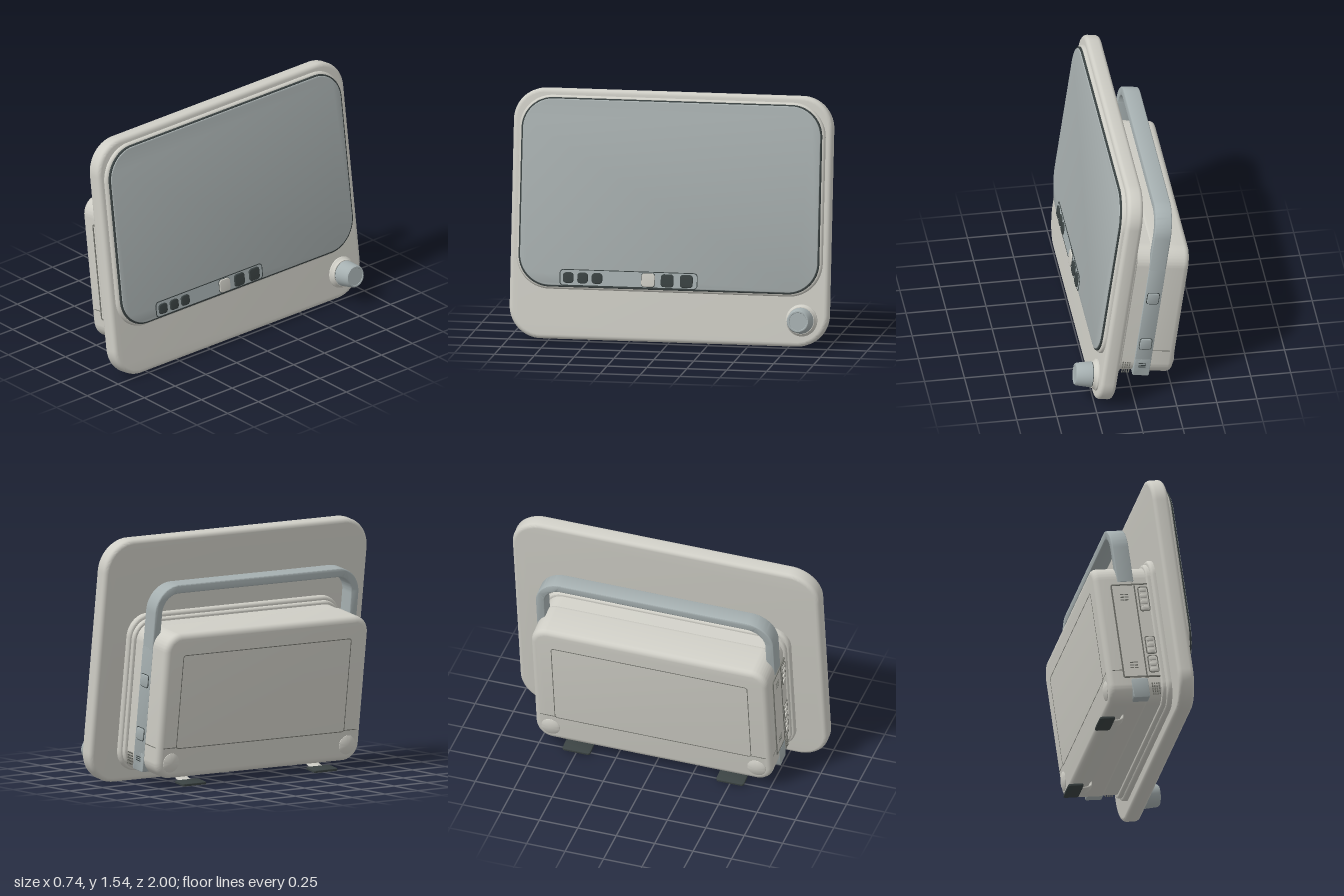
import * as THREE from 'three';
import { toCreasedNormals } from 'three/addons/utils/BufferGeometryUtils.js';

const paint = (color) => new THREE.MeshStandardMaterial({ color, side: THREE.DoubleSide });
const body = paint(0xcfcec6), tint = paint(0xa6b0b1), glass = paint(0xa8b0b0);
const dark = paint(0x3a4242), seam = paint(0x75766f);

// Rounded rectangle outline
function roundRect(x0, x1, y0, y1, r, Type = THREE.Shape) {
  const s = new Type();
  s.moveTo(x0 + r, y0);
  s.lineTo(x1 - r, y0);
  s.absarc(x1 - r, y0 + r, r, -Math.PI / 2, 0);
  s.lineTo(x1, y1 - r);
  s.absarc(x1 - r, y1 - r, r, 0, Math.PI / 2);
  s.lineTo(x0 + r, y1);
  s.absarc(x0 + r, y1 - r, r, Math.PI / 2, Math.PI);
  s.lineTo(x0, y0 + r);
  s.absarc(x0 + r, y0 + r, r, Math.PI, Math.PI * 1.5);
  return s;
}

// Extrude from d0 to d1 with rounded edges
function solid(shape, d0, d1, bevel) {
  const g = new THREE.ExtrudeGeometry(shape, {
    depth: d1 - d0 - 2 * bevel, bevelEnabled: bevel > 0, bevelSize: bevel,
    bevelThickness: bevel, bevelOffset: -bevel, bevelSegments: 4, curveSegments: 12,
  });
  g.translate(0, 0, d0 + bevel);
  return toCreasedNormals(g, 0.6);
}

export function createModel() {
  const model = new THREE.Group();
  model.name = 'tiltedDisplay';
  // Everything is built upright, facing +x, then leaned back
  model.rotation.z = THREE.MathUtils.degToRad(7.8);
  model.position.set(0.15, 0, 0);
  const root = new THREE.Group();
  root.name = 'display';
  root.add(model);

  const add = (name, geo, mat) => {
    const m = new THREE.Mesh(geo, mat);
    m.name = name;
    model.add(m);
    return m;
  };
  // Slab lying in the z-y plane, thick along x
  const slab = (name, mat, [x0, x1], [y0, y1], [z0, z1], r, bevel = 0) =>
    add(name, solid(roundRect(-z1, -z0, y0, y1, r), x0, x1, bevel).rotateY(Math.PI / 2), mat);
  // Plate in the x-y plane, on the side of the case
  const sidePlate = (name, mat, [x0, x1], [y0, y1], [z0, z1], r, bevel = 0) =>
    add(name, solid(roundRect(x0, x1, y0, y1, r), z0, z1, bevel), mat);
  const frame = (x0, x1, y0, y1, r, t) => {
    const s = roundRect(x0, x1, y0, y1, r);
    s.holes.push(roundRect(x0 + t, x1 - t, y0 + t, y1 - t, Math.max(r - t, 0.002), THREE.Path));
    return s;
  };
  const box = (name, mat, sx, sy, sz, x, y, z) =>
    add(name, new THREE.BoxGeometry(sx, sy, sz).translate(x, y, z), mat);

  // Front panel, raised collar and screen
  slab('frontPanel', body, [0, 0.1], [0, 1.55], [-1, 1], 0.2, 0.025);
  slab('screenCollar', body, [0.07, 0.122], [0.31, 1.51], [-0.96, 0.96], 0.21, 0.02);
  slab('screenGasket', dark, [0.1, 0.133], [0.325, 1.497], [-0.942, 0.942], 0.195, 0.004);
  slab('screen', glass, [0.11, 0.138], [0.335, 1.489], [-0.932, 0.932], 0.188, 0.004);

  // Button strip
  add('buttonStripEdge', solid(frame(-0.68, 0.185, 0.335, 0.437, 0.025, 0.005), 0.13, 0.141, 0)
    .rotateY(Math.PI / 2), dark);
  slab('buttonStrip', tint, [0.13, 0.14], [0.338, 0.434], [-0.182, 0.677], 0.023);
  const buttons = [[0.625, 0.066], [0.535, 0.066], [0.445, 0.066], [0.125, 0.084], [0.005, 0.08], [-0.115, 0.08]];
  buttons.forEach(([z, s], i) => {
    const h = s / 2;
    if (i === 3) slab('buttonRim', dark, [0.13, 0.143], [0.341, 0.429], [z - 0.044, z + 0.044], 0.02);
    slab('button', i === 3 ? body : dark, [0.13, 0.15], [0.385 - h, 0.385 + h], [z - h, z + h], 0.02, 0.004);
  });

  // Dial: flange and tapered knob
  const lathe = (name, mat, pts, y, z) => {
    const g = new THREE.LatheGeometry(pts.map(([r, h]) => new THREE.Vector2(r, h)), 40);
    g.rotateZ(-Math.PI / 2).translate(0, y, z);
    return add(name, toCreasedNormals(g, 0.6), mat);
  };
  lathe('dialFlange', body, [[0.1, 0.095], [0.098, 0.108], [0.088, 0.118], [0.084, 0.132], [0, 0.132]], 0.165, -0.835);
  lathe('dialGap', dark, [[0.079, 0.12], [0.079, 0.138], [0, 0.138]], 0.165, -0.835);
  lathe('dialKnob', tint, [[0.081, 0.136], [0.079, 0.15], [0.071, 0.228], [0.064, 0.238], [0.056, 0.238],
    [0.054, 0.235], [0, 0.235]], 0.165, -0.835);

  // Rear case: mounting steps, core and back shell
  slab('mountStep', body, [-0.033, 0.02], [0.072, 1.075], [-0.8, 0.8], 0.14, 0.018);
  slab('mountStepInner', body, [-0.06, 0], [0.09, 1.05], [-0.783, 0.783], 0.125, 0.012);
  slab('caseCore', body, [-0.3, 0], [0.113, 1.03], [-0.765, 0.765], 0.11);
  slab('backShell', body, [-0.39, -0.13], [0.11, 1.034], [-0.77, 0.77], 0.11, 0.035);

  // Carrying handle, with its band running down the sides
  const arch = new THREE.Shape();
  const [w, top, foot, r, t] = [0.774, 1.31, 0.905, 0.17, 0.055];
  arch.moveTo(w, foot);
  arch.lineTo(w, top - r);
  arch.absarc(w - r, top - r, r, 0, Math.PI / 2);
  arch.lineTo(-w + r, top);
  arch.absarc(-w + r, top - r, r, Math.PI / 2, Math.PI);
  arch.lineTo(-w, foot);
  arch.lineTo(-w + t, foot);
  arch.lineTo(-w + t, top - r);
  arch.absarc(-w + r, top - r, r - t, Math.PI, Math.PI / 2, true);
  arch.lineTo(w - r, top - t);
  arch.absarc(w - r, top - r, r - t, Math.PI / 2, 0, true);
  arch.lineTo(w - t, foot);
  add('handle', solid(arch, -0.245, -0.14, 0.008).rotateY(Math.PI / 2), tint);
  sidePlate('handleBandRight', tint, [-0.245, -0.14], [0.17, 0.915], [-0.774, -0.7], 0.01, 0.004);
  sidePlate('lowerBandRight', tint, [-0.245, -0.14], [0.125, 0.25], [-0.774, -0.7], 0.01, 0.004);
  sidePlate('lowerBandLeft', tint, [-0.245, -0.14], [0.12, 0.25], [0.7, 0.774], 0.01, 0.004);

  // Keys and vent on the right band
  for (const y of [0.36, 0.7]) {
    sidePlate('sideKeyRim', dark, [-0.232, -0.153], [y - 0.042, y + 0.042], [-0.776, -0.74], 0.015);
    sidePlate('sideKey', tint, [-0.228, -0.157], [y - 0.038, y + 0.038], [-0.781, -0.74], 0.013, 0.004);
  }
  for (let i = 0; i < 3; i++) box('bandVent', dark, 0.045, 0.005, 0.01, -0.192, 0.19 + i * 0.012, -0.772);

  // Left side door: frame, divider, vents and port covers
  sidePlate('sideDoor', body, [-0.29, -0.04], [0.258, 0.886], [0.74, 0.772], 0.012);
  add('doorFrame', solid(frame(-0.292, -0.038, 0.256, 0.888, 0.014, 0.009), 0.76, 0.775, 0), seam);
  box('doorDivider', seam, 0.008, 0.62, 0.01, -0.142, 0.572, 0.77);
  for (const y of [0.34, 0.8]) for (let i = 0; i < 3; i++) for (const x of [-0.228, -0.2])
    box('doorVent', seam, 0.022, 0.006, 0.006, x, y + (i - 1) * 0.018, 0.772);
  for (const [y0, y1] of [[0.7, 0.865], [0.41, 0.53], [0.285, 0.4]]) {
    add('portRim', solid(frame(-0.125, -0.058, y0, y1, 0.015, 0.006), 0.76, 0.776, 0), seam);
    const n = Math.round((y1 - y0) / 0.04);
    for (let i = 0; i < n; i++) {
      const y = y0 + (i + 0.5) * (y1 - y0) / n;
      sidePlate('portCover', body, [-0.113, -0.07], [y - 0.014, y + 0.014], [0.76, 0.78], 0.008, 0.003);
    }
  }
  // Small grille low on both sides
  for (const s of [-1, 1]) for (let i = 0; i < 5; i++) for (let j = 0; j < 4; j++)
    box('sideGrille', seam, 0.007, 0.01, 0.008, -0.115 + j * 0.014, 0.145 + i * 0.017, s * 0.782 - s * 0.017);

  // Seams of the back cover
  add('backCoverSeam', solid(frame(-0.64, 0.64, 0.3, 0.9, 0.02, 0.005), -0.391, -0.38, 0)
    .rotateY(Math.PI / 2), seam);
  for (const s of [-1, 1]) {
    box('cornerSeamSide', seam, 0.11, 0.005, 0.01, -0.3, 0.31, s * 0.766);
    box('cornerSeamBack', seam, 0.01, 0.005, 0.1, -0.386, 0.31, s * 0.685);
    // Domed caps and folding feet
    const cap = lathe('cornerCap', body, [[0.062, -0.02], [0.06, 0.005], [0.045, 0.012], [0, 0.018]], 0, 0);
    cap.rotation.y = Math.PI;
    cap.position.set(-0.388, 0.215, s * 0.67);
    const z = s * 0.5;
    const path = new THREE.CatmullRomCurve3([[-0.27, 0.125], [-0.275, 0.09], [-0.3, 0.077], [-0.35, 0.074]]
      .map(([x, y]) => new THREE.Vector3(x, y, 0)));
    const stem = new THREE.TubeGeometry(path, 16, 0.008, 10);
    stem.scale(1, 1, 6).translate(0, 0, z);
    add('footStem', stem, body);
    const pad = solid(roundRect(-0.43, -0.333, z - 0.09, z + 0.09, 0.015), -0.008, 0.008, 0.004);
    add('footPad', pad.rotateX(Math.PI / 2).scale(1, 1, 1).translate(0, 0.074, 0), dark);
  }
  return root;
}
